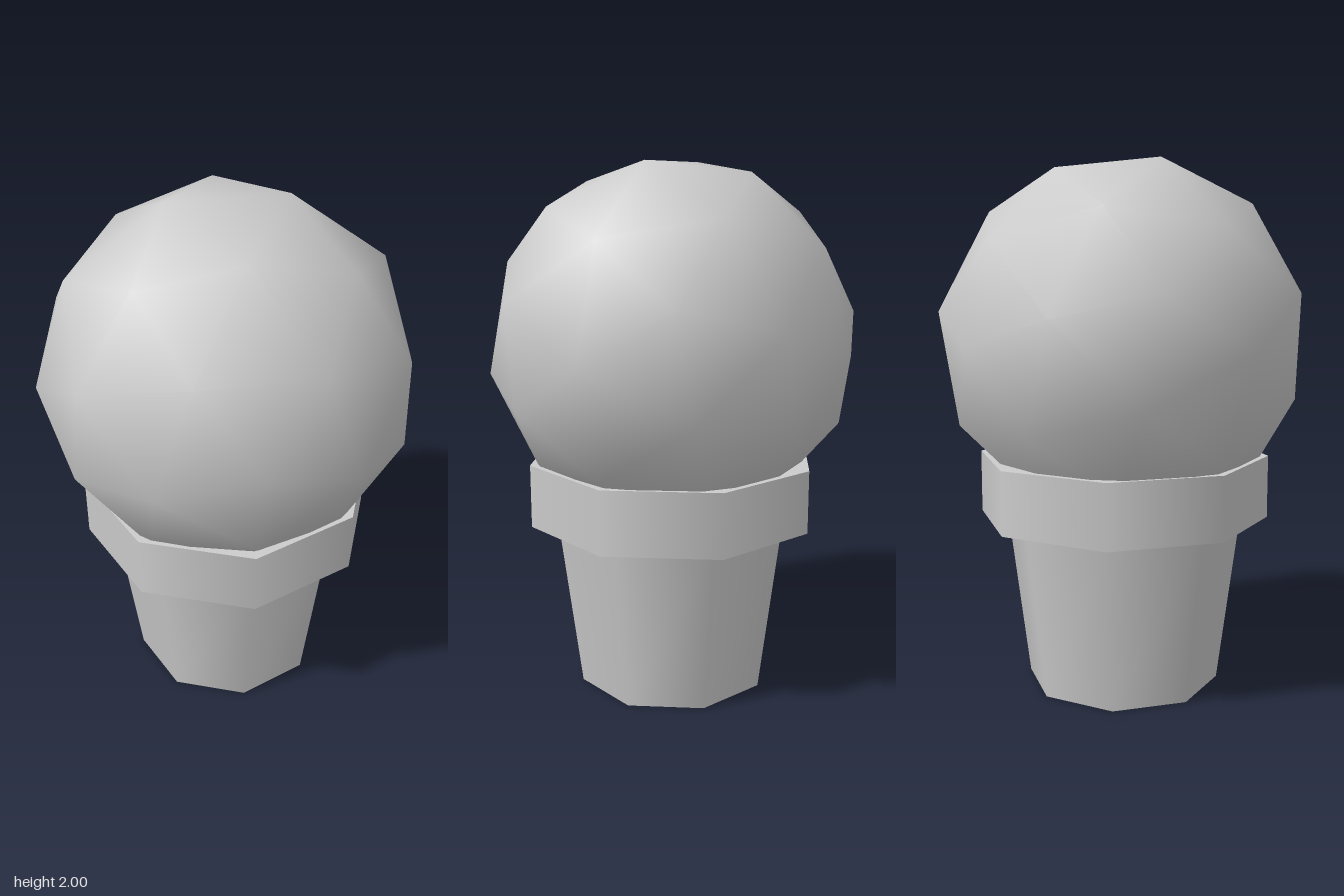
import * as THREE from 'three';

export function createModel() {
  const model = new THREE.Group();
  const material = new THREE.MeshStandardMaterial({ color: 0xcccccc });

  const add = (name, geometry, y) => {
    const mesh = new THREE.Mesh(geometry, material);
    mesh.name = name;
    mesh.position.y = y;
    model.add(mesh);
  };

  // Eight-sided cup section from height y0 to y1, corners on the x and z axes
  const section = (name, rTop, rBottom, y0, y1) =>
    add(name, new THREE.CylinderGeometry(rTop, rBottom, y1 - y0, 8), (y0 + y1) / 2);

  section('coneBase', 0.457, 0.373, 0, 0.655);
  section('coneRim', 0.56, 0.56, 0.655, 0.895);

  // Smooth-shaded scoop, turned so that a pole of the icosphere faces +z
  const scoop = new THREE.IcosahedronGeometry(0.7, 1);
  scoop.rotateX(Math.atan(2 / (1 + Math.sqrt(5))));
  add('scoop', scoop, 1.334);

  return model;
}
